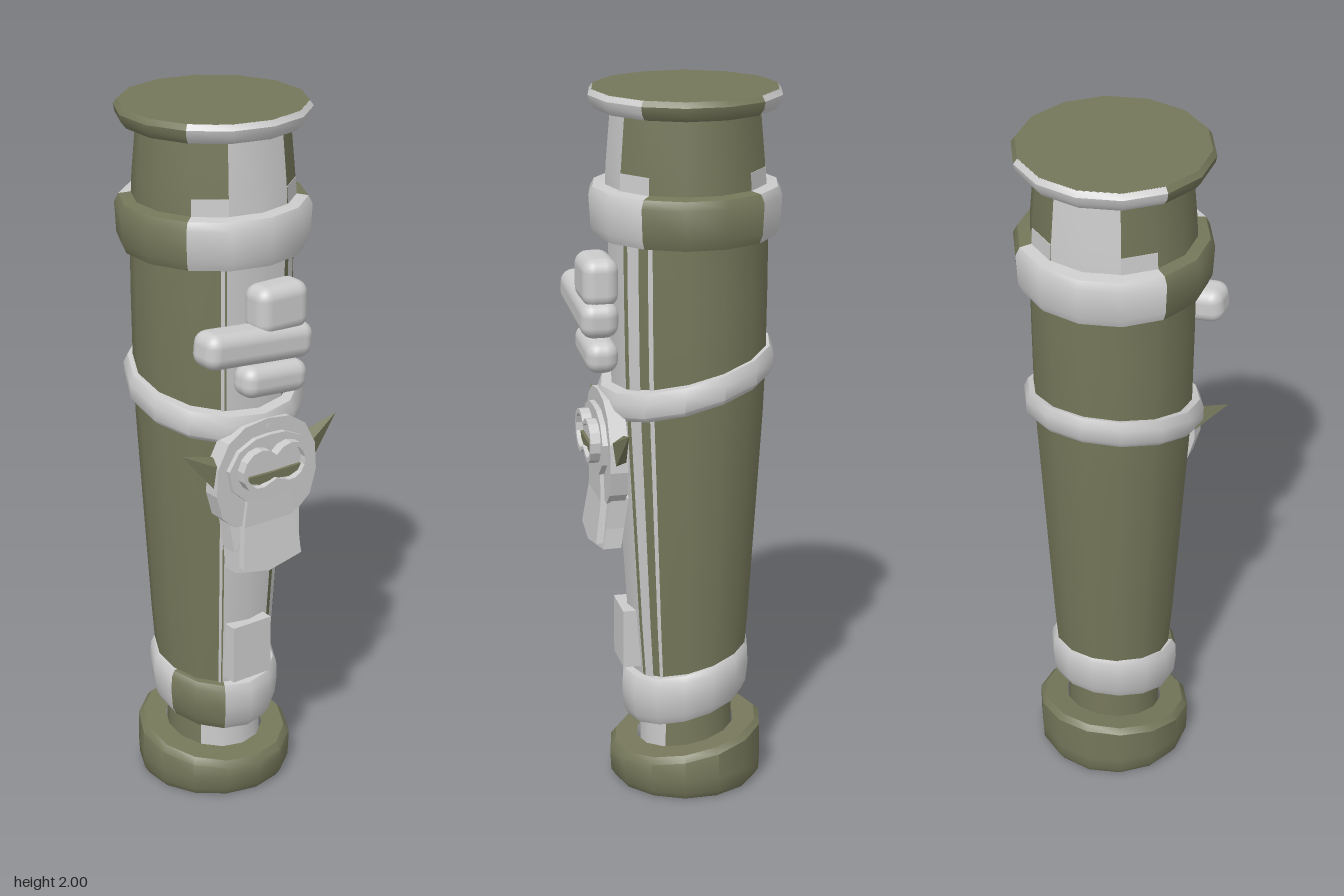
import * as THREE from 'three';
import { toCreasedNormals } from 'three/addons/utils/BufferGeometryUtils.js';
import { RoundedBoxGeometry } from 'three/addons/geometries/RoundedBoxGeometry.js';
import { ConvexGeometry } from 'three/addons/geometries/ConvexGeometry.js';

const GREY = 0xcccccc, OLIVE = 0x75775a;
const SIDES = 14, STEP = (Math.PI * 2) / SIDES;
const V2 = (p) => new THREE.Vector2(p[0], p[1]);

function add(parent, name, geometry, color = GREY) {
  const mesh = new THREE.Mesh(geometry, new THREE.MeshStandardMaterial({ color }));
  mesh.name = name;
  parent.add(mesh);
  return mesh;
}

// Part of a turned shape, from side index a to b (0 = front, counted towards +x).
// slope lifts the back: y drops by slope per unit of z, above the height slopeFrom.
function turned(parent, name, profile, a, b, color, { z = -0.022, slope = 0, slopeFrom = -1 } = {}) {
  const segments = Math.max(1, Math.round(b - a));
  let g = new THREE.LatheGeometry(profile.map(V2), segments, a * STEP, (b - a) * STEP);
  const p = g.attributes.position;
  for (let i = 0; i < p.count; i++) {
    if (p.getY(i) > slopeFrom) p.setY(i, p.getY(i) - slope * p.getZ(i));
  }
  g.deleteAttribute('normal');
  g = toCreasedNormals(g, 0.75);
  g.translate(0, 0, z);
  return add(parent, name, g, color);
}

// Several coloured sectors round one profile: [from, to, color]
function sectors(parent, name, profile, list, options) {
  const group = new THREE.Group();
  group.name = name;
  list.forEach(([a, b, color], i) => turned(group, `${name}Sector${i + 1}`, profile, a, b, color, options));
  parent.add(group);
}

const QUARTERS = [[-2, 2, GREY], [2, 5, OLIVE], [5, 9, GREY], [9, 12, OLIVE]];

function plate(parent, name, points, z, depth, color, hole) {
  const shape = new THREE.Shape(points.map(V2));
  if (hole) shape.holes.push(new THREE.Path(hole.map(V2)));
  const g = new THREE.ExtrudeGeometry(shape, { depth, bevelEnabled: false });
  g.translate(0, 0, z);
  return add(parent, name, g, color);
}

// Completes a right-hand outline with its mirror image
const mirrored = (half) => [...half, ...half.slice().reverse().filter((p) => p[0] > 0).map(([x, y]) => [-x, y])];

function buildColumn(root) {
  // Base with sloping top
  turned(root, 'base', [[0, 0], [0.205, 0], [0.218, 0.02], [0.22, 0.06], [0.22, 0.125], [0.205, 0.142], [0.14, 0.142]],
    0, SIDES, OLIVE, { slope: 0.18, slopeFrom: 0.1 });
  // Neck
  sectors(root, 'neck', [[0.135, 0.08], [0.13, 0.3]], [[-2, 2, GREY], [2, 12, OLIVE]], { z: -0.025 });
  // Lower collar
  sectors(root, 'lowerCollar',
    [[0.13, 0.235], [0.165, 0.23], [0.178, 0.255], [0.184, 0.31], [0.182, 0.355], [0.172, 0.372], [0.15, 0.372]],
    [[-1, 11, GREY], [11, 13, OLIVE]], { slope: 0.25 });
  // Tapered body with front panel
  const bodyAt = (o) => [[0.157, 0.29], [0.174, 0.5], [0.193, 0.8], [0.212, 1.1], [0.218, 1.25], [0.221, 1.45], [0.222, 1.63]]
    .map(([r, y]) => [r + o, y]);
  sectors(root, 'body', bodyAt(0), [[-1, 1, GREY], [1, 13, OLIVE]], { z: -0.03 });
  // Narrow trim lines beside the panel
  [[1.18, 1.58], [1.88, 2.02], [-1.16, -1.06]].forEach(([a, b], i) =>
    turned(root, `trimStrip${i + 1}`, bodyAt(0.002), a, b, GREY, { z: -0.03 }));
  // Sloping middle band
  turned(root, 'middleBand',
    [[0.2, 1.165], [0.235, 1.16], [0.247, 1.175], [0.248, 1.215], [0.237, 1.24], [0.2, 1.24]],
    0, SIDES, GREY, { slope: 0.25 });
  // Upper ring
  sectors(root, 'upperRing',
    [[0.21, 1.605], [0.252, 1.605], [0.262, 1.63], [0.267, 1.715], [0.255, 1.738], [0.21, 1.745]], QUARTERS);
  // Head section and its lower step
  sectors(root, 'head', [[0.222, 1.73], [0.219, 1.8], [0.205, 1.96]],
    [[-1, 1, GREY], [1, 6, OLIVE], [6, 8, GREY], [8, 13, OLIVE]]);
  [[1, 2], [5, 6], [8, 9], [12, 13]].forEach(([a, b], i) =>
    turned(root, `headStep${i + 1}`, [[0.224, 1.73], [0.221, 1.79], [0.216, 1.79]], a, b, GREY));
  // Top rim and lid
  sectors(root, 'topRim', [[0.2, 1.945], [0.248, 1.947], [0.262, 1.965], [0.266, 1.985], [0.255, 2]], QUARTERS);
  turned(root, 'topLid', [[0.256, 1.9995], [0, 2]], 0, SIDES, OLIVE);
}

function buildGrip(root) {
  const grip = new THREE.Group();
  grip.name = 'grip';
  // Three soft pads: size, centre, tilt
  [
    ['upperPad', [0.165, 0.135, 0.1], [0.022, 1.49, 0.23], 0],
    ['longPad', [0.35, 0.1, 0.105], [-0.058, 1.402, 0.235], -0.09],
    ['lowerPad', [0.21, 0.09, 0.09], [0.005, 1.29, 0.228], -0.08],
  ].forEach(([name, size, centre, tilt]) => {
    const m = add(grip, name, new RoundedBoxGeometry(...size, 3, 0.036));
    m.position.set(...centre);
    m.rotation.z = tilt;
  });
  root.add(grip);
}

function buildMask(root) {
  const mask = new THREE.Group();
  mask.name = 'mask';
  // Face: head, cheeks and jaw
  plate(mask, 'face', mirrored([[0, 0.865], [0.11, 0.875], [0.15, 0.91], [0.17, 0.98], [0.165, 1.06],
    [0.13, 1.125], [0.075, 1.16], [0, 1.17]]), 0.175, 0.05, GREY);
  plate(mask, 'brow', mirrored([[0, 0.94], [0.08, 0.95], [0.125, 0.99], [0.138, 1.05], [0.105, 1.1], [0.05, 1.125], [0, 1.128]]),
    0.225, 0.015, GREY);
  // Jaw, flaring forward at the bottom
  const jaw = plate(mask, 'jaw', mirrored([[0, 0.72], [0.113, 0.742], [0.112, 0.8], [0.12, 0.89], [0, 0.93]]), 0.165, 0.05, GREY);
  const snout = plate(mask, 'snout', mirrored([[0, 0.735], [0.1, 0.755], [0.085, 0.87], [0.07, 0.97], [0, 0.985]]), 0.205, 0.03, GREY);
  [jaw, snout].forEach(({ geometry }) => {
    const p = geometry.attributes.position;
    for (let i = 0; i < p.count; i++) p.setZ(i, p.getZ(i) + Math.max(0, 0.88 - p.getY(i)) * 0.15);
    geometry.computeVertexNormals();
  });
  // Goggles: two joined lenses in a raised frame
  const lensOutline = (r) => {
    const half = [[0, 1.035 - r * 0.55]];
    for (let i = 0; i <= 8; i++) {
      const t = -Math.PI * 0.55 + (i / 8) * Math.PI * 1.2;
      half.push([0.05 + r * Math.cos(t), 1.04 + r * Math.sin(t)]);
    }
    half.push([0, 1.04 + r * 0.6]);
    return mirrored(half);
  };
  plate(mask, 'goggleFrame', lensOutline(0.062), 0.238, 0.03, GREY, lensOutline(0.048));
  plate(mask, 'goggleLens', lensOutline(0.048), 0.238, 0.01, GREY);
  plate(mask, 'lowerLens', mirrored([[0, 1.005], [0.05, 0.998], [0.08, 1.008], [0.092, 1.026], [0, 1.024]]), 0.247, 0.01, OLIVE);
  // Pointed ears
  for (const s of [-1, 1]) {
    const pts = [[0.262, 1.112, 0.193], [0.15, 1.08, 0.185], [0.155, 1.06, 0.22], [0.165, 0.995, 0.21], [0.16, 1.0, 0.18]];
    add(mask, s > 0 ? 'leftEar' : 'rightEar',
      new ConvexGeometry(pts.map(([x, y, z]) => new THREE.Vector3(s * x, y, z))), OLIVE);
  }
  root.add(mask);
}

export function createModel() {
  const root = new THREE.Group();
  root.name = 'column';
  buildColumn(root);
  buildGrip(root);
  buildMask(root);
  // Small box low on the front panel
  add(root, 'frontBox', new THREE.BoxGeometry(0.13, 0.17, 0.06)).position.set(-0.005, 0.445, 0.14);
  return root;
}
